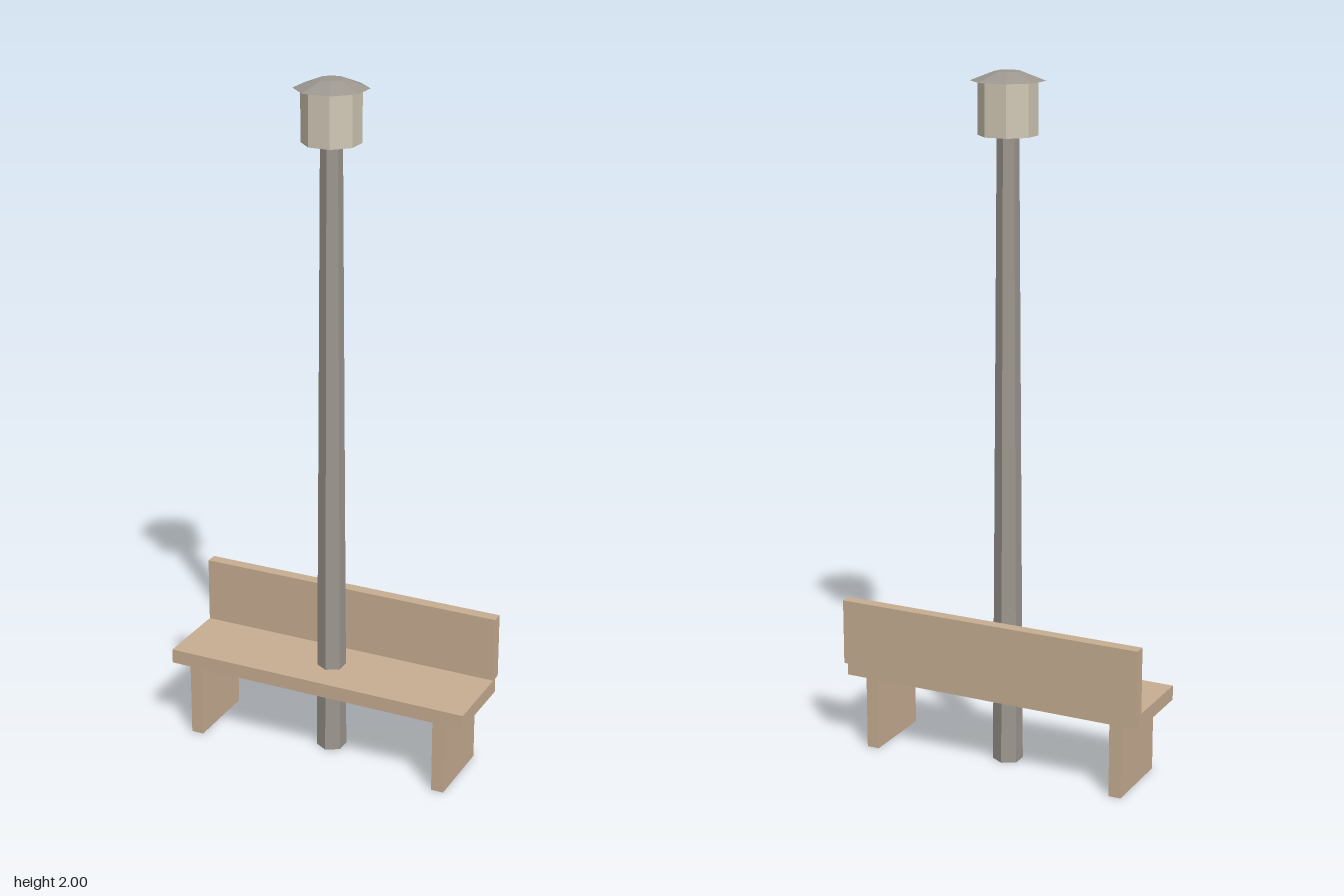
import * as THREE from 'three';

const wood = new THREE.MeshStandardMaterial({ name: 'wood', color: 0xc6ad91, flatShading: true });
const metal = new THREE.MeshStandardMaterial({ name: 'grey metal', color: 0x9c968f, flatShading: true, side: THREE.DoubleSide });
const glass = new THREE.MeshStandardMaterial({ name: 'pale lamp', color: 0xd0c7b4, flatShading: true });

const AXIS_Z = 0.009; // lamp post and seat share this depth

function add(parent, name, geometry, material, x, y, z) {
  const mesh = new THREE.Mesh(geometry, material);
  mesh.name = name;
  mesh.position.set(x, y, z);
  parent.add(mesh);
  return mesh;
}

// Box given by its bottom height
function board(parent, name, w, h, d, x, bottom, z) {
  return add(parent, name, new THREE.BoxGeometry(w, h, d), wood, x, bottom + h / 2, z);
}

// Faceted tapered post between two heights
function prism(parent, name, material, sides, rTop, rBottom, y0, y1, open, turn) {
  const geometry = new THREE.CylinderGeometry(rTop, rBottom, y1 - y0, sides, 1, open);
  geometry.rotateY(turn);
  return add(parent, name, geometry, material, 0, (y0 + y1) / 2, AXIS_Z);
}

export function createModel() {
  const model = new THREE.Group();
  model.name = 'lampPostBench';

  // Bench
  const bench = new THREE.Group();
  bench.name = 'bench';
  board(bench, 'seat', 0.933, 0.043, 0.247, 0, 0.222, AXIS_Z);
  board(bench, 'backrest', 0.933, 0.195, 0.035, 0, 0.265, -0.1165);
  for (const [name, side] of [['leftLeg', 1], ['rightLeg', -1]]) {
    board(bench, name, 0.037, 0.222, 0.23, side * 0.391, 0, AXIS_Z + 0.002);
  }
  model.add(bench);

  // Lamp post: six-sided pole, eight-sided lamp and cap
  const lamp = new THREE.Group();
  lamp.name = 'lampPost';
  prism(lamp, 'pole', metal, 6, 0.031, 0.044, 0, 1.83, true, 0);
  prism(lamp, 'lampHead', glass, 8, 0.083, 0.083, 1.827, 1.974, false, Math.PI / 8);
  prism(lamp, 'cap', metal, 8, 0.036, 0.104, 1.974, 2, false, Math.PI / 8);
  model.add(lamp);

  return model;
}
